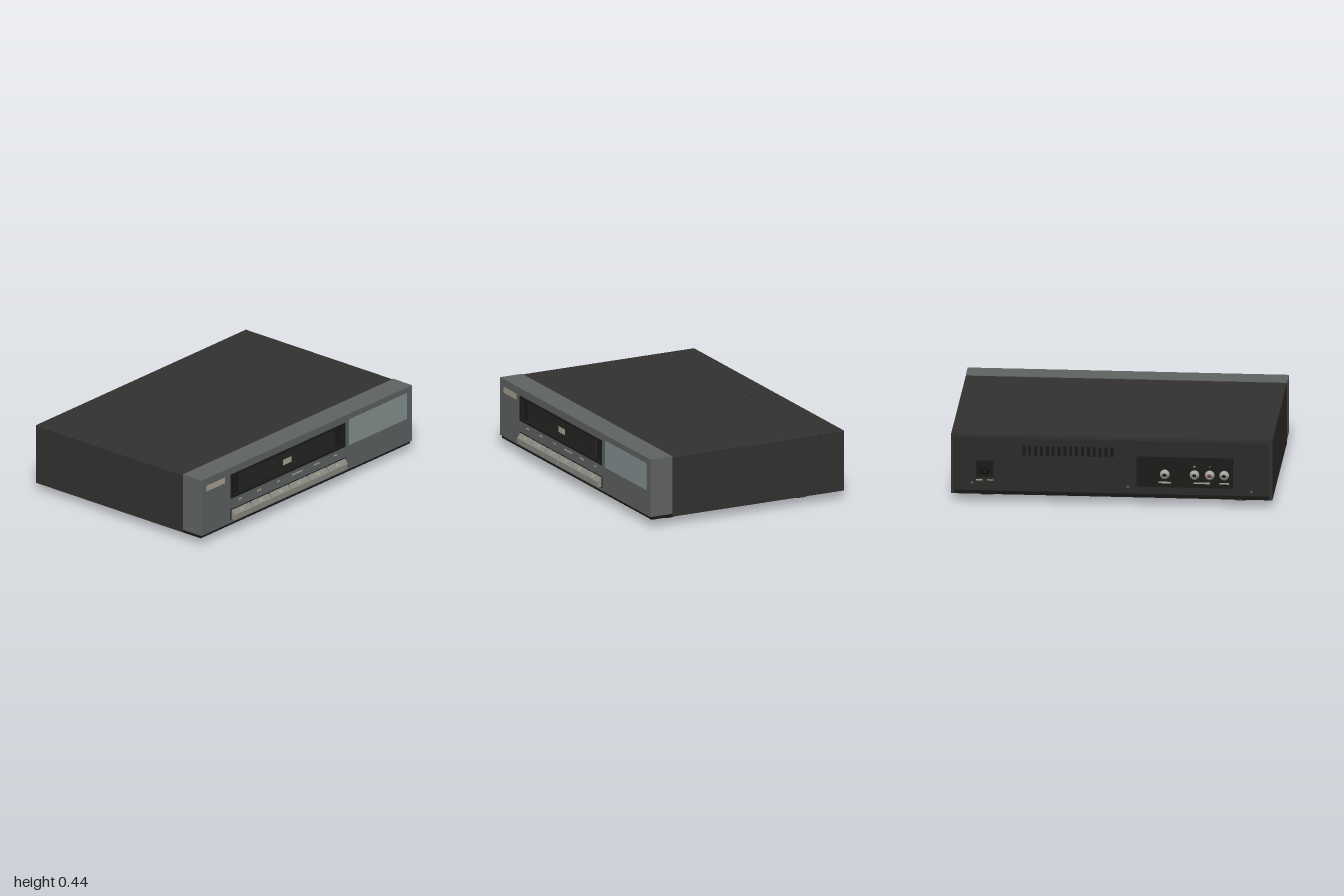
import * as THREE from 'three';
import { RoundedBoxGeometry } from 'three/addons/geometries/RoundedBoxGeometry.js';

const mat = (color) => new THREE.MeshStandardMaterial({ color });
const M = {
  cover: mat(0x32312f), rear: mat(0x2b2a28), black: mat(0x171716), panel: mat(0x5f6362),
  slot: mat(0x1b1b1a), door: mat(0x252522), glass: mat(0x869392), button: mat(0x8b8a82),
  label: mat(0xa8a290), foot: mat(0x56585a), metal: mat(0xa5a5a0), red: mat(0x8a3a36),
};

export function createModel() {
  const root = new THREE.Group();

  const add = (name, geo, m, x = 0, y = 0, z = 0, parent = root) => {
    const mesh = new THREE.Mesh(geo, m);
    mesh.name = name;
    mesh.position.set(x, y, z);
    parent.add(mesh);
    return mesh;
  };
  // Box given by its limits on each axis
  const box = (name, m, x0, x1, y0, y1, z0, z1, parent) =>
    add(name, new THREE.BoxGeometry(x1 - x0, y1 - y0, z1 - z0), m,
      (x0 + x1) / 2, (y0 + y1) / 2, (z0 + z1) / 2, parent);
  const rect = (S, x0, x1, y0, y1) => new S([[x0, y0], [x1, y0], [x1, y1], [x0, y1]]
    .map(([x, y]) => new THREE.Vector2(x, y)));
  // Plate in the xy plane with rectangular holes
  const plate = (name, m, limits, holes, z0, z1) => {
    const s = rect(THREE.Shape, ...limits);
    holes.forEach((h) => s.holes.push(rect(THREE.Path, ...h)));
    return add(name, new THREE.ExtrudeGeometry(s, { depth: z1 - z0, bevelEnabled: false }), m, 0, 0, z0);
  };
  // Turned part whose axis points out of the back
  const turned = (name, m, points, x, y, z, sides = 20, parent = root) => {
    const geo = new THREE.LatheGeometry(points.map((p) => new THREE.Vector2(...p)), sides);
    geo.rotateX(-Math.PI / 2);
    const mesh = add(name, geo, m, x, y, z, parent);
    mesh.material.side = THREE.DoubleSide;
    return mesh;
  };

  // Chassis and base
  box('chassis', M.black, -0.975, 0.975, 0.06, 0.425, -0.645, 0.53);
  box('basePlate', M.black, -0.995, 0.995, 0.05, 0.072, -0.675, 0.665);

  // Folded cover in two pieces with a narrow seam
  const u = new THREE.Shape([[-1, 0.052], [-1, 0.436], [-0.996, 0.44], [0.996, 0.44], [1, 0.436],
    [1, 0.052], [0.98, 0.052], [0.98, 0.42], [-0.98, 0.42], [-0.98, 0.052]]
    .map((p) => new THREE.Vector2(...p)));
  [['rearCover', -0.682, -0.521], ['mainCover', -0.517, 0.518]].forEach(([name, z0, z1]) =>
    add(name, new THREE.ExtrudeGeometry(u, { depth: z1 - z0, bevelEnabled: false }), M.cover, 0, 0, z0));

  // Front fascia with the tape opening cut through
  const slot = [-0.725, 0.36, 0.236, 0.396];
  plate('frontFascia', M.panel, [-1, 1, 0.07, 0.443], [slot], 0.522, 0.677);
  plate('tapeFrame', M.slot, slot, [[-0.708, 0.343, 0.25, 0.384]], 0.62, 0.684);
  box('tapeRecess', M.slot, -0.71, 0.345, 0.245, 0.388, 0.6, 0.663);
  box('tapeDoor', M.door, -0.635, 0.265, 0.256, 0.377, 0.66, 0.673);
  box('doorPlate', M.label, -0.225, -0.145, 0.296, 0.332, 0.67, 0.676);
  box('displayWindow', M.glass, 0.398, 0.948, 0.232, 0.405, 0.66, 0.679);
  box('namePlate', M.label, -0.952, -0.782, 0.357, 0.394, 0.67, 0.679);

  // Push buttons with sloping tops, each with a mark and a tag above
  box('buttonSurround', M.slot, -0.728, 0.362, 0.088, 0.161, 0.67, 0.679);
  const profile = new THREE.Shape([[0, 0.094], [0.03, 0.094], [0.03, 0.128], [0.008, 0.156], [0, 0.156]]
    .map((p) => new THREE.Vector2(...p)));
  const pitch = 1.085 / 6;
  [0.035, 0.04, 0.02, 0.1, 0.055, 0.03].forEach((w, i) => {
    const key = new THREE.Group();
    key.name = 'button' + (i + 1);
    key.position.set(-0.725 + pitch * (i + 0.5), 0, 0.675);
    root.add(key);
    const geo = new THREE.ExtrudeGeometry(profile, { depth: pitch - 0.01, bevelEnabled: false });
    geo.rotateY(-Math.PI / 2);
    add('buttonCap', geo, M.button, (pitch - 0.01) / 2, 0, 0, key);
    const mark = box('buttonMark', M.label, -0.013, 0.013, 0.138, 0.15, 0.018, 0.02, key);
    mark.rotation.x = -0.666;
    box('buttonTag', M.label, -w / 2, w / 2, 0.201, 0.21, 0, 0.004, key);
  });

  // Rear panel with ventilation slots
  const vents = Array.from({ length: 16 }, (_, i) => {
    const x = 0.0 + i * 0.0365;
    return [x - 0.009, x + 0.009, 0.3, 0.368];
  });
  plate('rearPanel', M.rear, [-0.98, 0.98, 0.06, 0.42], vents, -0.67, -0.655);

  // Signal sockets on their own dark plate
  box('socketPlate', M.slot, -0.753, -0.155, 0.12, 0.315, -0.675, -0.665);
  [-0.33, -0.515, -0.61, -0.7].forEach((x, i) => {
    const jack = new THREE.Group();
    jack.name = 'signalSocket' + (i + 1);
    jack.position.set(x, 0.205, -0.675);
    root.add(jack);
    turned('socketSleeve', M.metal, [[0.03, 0], [0.03, 0.01], [0.02, 0.014], [0.018, 0.03],
      [0.012, 0.03], [0.012, 0.005]], 0, 0, 0, 16, jack);
    turned('socketCore', i === 2 ? M.red : M.black, [[0.012, 0], [0.012, 0.02], [0, 0.02]], 0, 0, 0, 16, jack);
  });
  [[-0.33, 0.08], [-0.56, 0.1], [-0.7, 0.06]].forEach(([x, w]) =>
    box('socketTag', M.label, x - w / 2, x + w / 2, 0.146, 0.156, -0.677, -0.67));
  [[-0.515, M.label], [-0.61, M.red]].forEach(([x, m]) =>
    box('socketDot', m, x - 0.006, x + 0.006, 0.252, 0.264, -0.677, -0.67));

  // Power inlet
  box('powerPlate', M.slot, 0.735, 0.845, 0.16, 0.265, -0.677, -0.66);
  turned('powerInlet', M.black, [[0.036, 0], [0.034, 0.01], [0.022, 0.028], [0.014, 0.028],
    [0.014, 0.004], [0, 0.004]], 0.79, 0.212, -0.677);
  [0.755, 0.825].forEach((x) => box('powerTag', M.label, x - 0.02, x + 0.02, 0.136, 0.144, -0.673, -0.665));

  // Rear panel screws
  [[-0.1, 0.115], [-0.87, 0.1], [0.87, 0.12]].forEach(([x, y]) =>
    turned('rearScrew', M.foot, [[0.009, 0], [0.007, 0.004], [0, 0.005]], x, y, -0.67, 10));

  // Round feet
  for (const x of [-0.79, 0.79]) for (const z of [-0.462, 0.468]) {
    add('foot', new THREE.CylinderGeometry(0.078, 0.078, 0.046, 32), M.foot, x, 0.029, z);
    add('footSole', new THREE.CylinderGeometry(0.078, 0.072, 0.006, 32), M.foot, x, 0.003, z);
  }
  return root;
}
